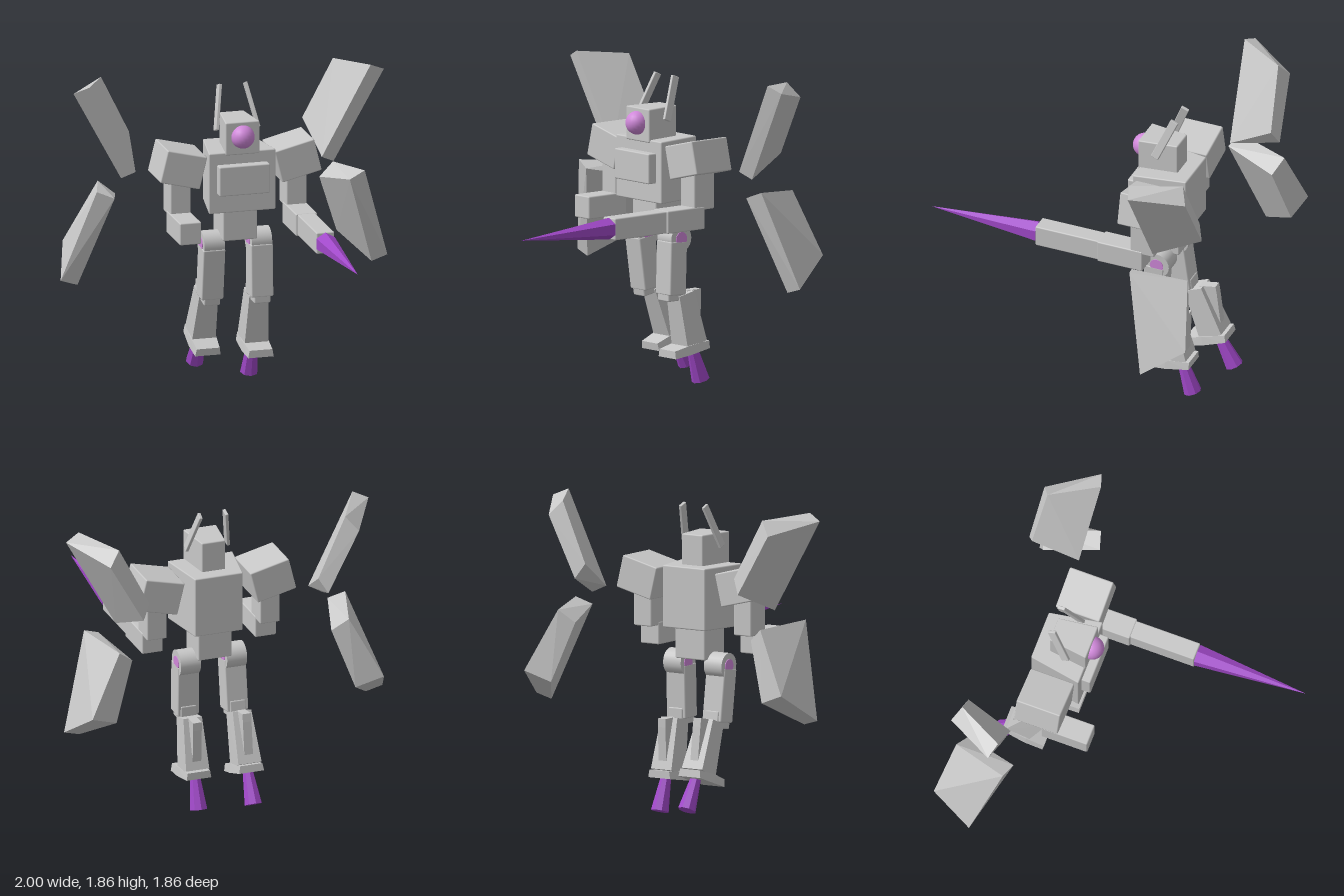
import * as THREE from 'three';
import { RoundedBoxGeometry } from 'three/addons/geometries/RoundedBoxGeometry.js';
import { ConvexGeometry } from 'three/addons/geometries/ConvexGeometry.js';

const material = (name, color) => {
  const m = new THREE.MeshStandardMaterial({ color });
  m.name = name;
  return m;
};

export function createModel() {
  const grey = material('armour grey', 0xc8c8c8);
  const purple = material('energy purple', 0xa048c8);
  const pink = material('lens pink', 0xd088da);
  const model = new THREE.Group();
  model.name = 'robot';

  const add = (parent, name, geometry, mat, x = 0, y = 0, z = 0) => {
    const mesh = new THREE.Mesh(geometry, mat);
    mesh.name = name;
    mesh.position.set(x, y, z);
    parent.add(mesh);
    return mesh;
  };

  // Bevelled box, narrowed towards its back by the factor backScale
  const block = (w, h, d, backScale = 1, r = 0.008) => {
    const g = new RoundedBoxGeometry(w, h, d, 1, r);
    const p = g.attributes.position;
    for (let i = 0; i < p.count; i++) {
      const t = THREE.MathUtils.clamp(0.5 - p.getZ(i) / d, 0, 1);
      p.setX(i, p.getX(i) * THREE.MathUtils.lerp(1, backScale, t));
    }
    return g;
  };

  // Faceted solid from a side profile of [z, y, half width]
  const solid = (profile) => new ConvexGeometry(profile.flatMap(([z, y, hw]) =>
    [new THREE.Vector3(hw, y, z), new THREE.Vector3(-hw, y, z)]));

  // Torso and head
  add(model, 'chest', block(0.41, 0.37, 0.32, 0.73), grey, 0, 1.297, -0.445);
  add(model, 'chestPlate', block(0.31, 0.18, 0.08), grey, 0, 1.32, -0.27);
  add(model, 'waist', block(0.21, 0.2, 0.21), grey, 0, 1.025, -0.435);
  add(model, 'head', block(0.21, 0.2, 0.24, 0.7), grey, 0, 1.565, -0.397);
  add(model, 'eye', new THREE.SphereGeometry(0.07, 20, 14), pink, 0, 1.575, -0.275);

  for (const s of [1, -1]) {
    // Antennae lean outward at the base and sweep back
    const low = new THREE.Vector3(s * 0.13, 1.59, -0.395);
    const high = new THREE.Vector3(s * 0.078, 1.84, -0.5);
    const antenna = add(model, 'antenna', block(0.02, low.distanceTo(high), 0.05, 1, 0.004), grey);
    antenna.position.lerpVectors(low, high, 0.5);
    antenna.rotation.set(-0.4, 0, s * 0.2, 'ZXY');

    // Arms
    const shoulder = add(model, 'shoulder', block(0.25, 0.2, 0.275), grey, s * 0.35, 1.388, -0.447);
    shoulder.rotation.z = s * 0.24;
    add(model, 'upperArm', block(0.125, 0.25, 0.155), grey, s * 0.355, 1.215, -0.437);
    add(model, 'forearm', block(0.132, 0.135, 0.29), grey, s * 0.355, 1.043, -0.295);
  }

  // Lance on the left arm
  add(model, 'lanceBarrel', block(0.11, 0.13, 0.42), grey, 0.355, 1.043, 0.04);
  const spike = add(model, 'lanceSpike', new THREE.ConeGeometry(0.065, 0.685, 6).toNonIndexed(),
    purple, 0.355, 1.043, 0.5925);
  spike.geometry.computeVertexNormals();
  spike.rotation.x = Math.PI / 2;

  // Legs, built around the hip pivot; the right one swings back
  const hipY = 0.89, hipZ = -0.44;
  const local = (profile) => solid(profile.map(([z, y, hw]) => [z - hipZ, y - hipY, hw]));
  for (const [x, swing] of [[0.143, 0], [-0.147, 0.17]]) {
    const leg = new THREE.Group();
    leg.name = x > 0 ? 'leftLeg' : 'rightLeg';
    leg.position.set(x, hipY, hipZ);
    leg.rotation.x = swing;
    model.add(leg);

    const hip = add(leg, 'hip', new THREE.CylinderGeometry(0.078, 0.078, 0.125, 24), grey);
    hip.rotation.z = Math.PI / 2;
    const cap = add(leg, 'hipLens', new THREE.CylinderGeometry(0.042, 0.042, 0.133, 20), pink);
    cap.rotation.z = Math.PI / 2;

    const thigh = add(leg, 'thigh', block(0.135, 0.32, 0.125), grey, 0, 0.717 - hipY, -0.417 - hipZ);
    thigh.rotation.x = -0.03;
    add(leg, 'knee', block(0.1, 0.1, 0.13), grey, 0, 0.57 - hipY, -0.417 - hipZ);
    add(leg, 'shin', local([
      [-0.43, 0.545, 0.058], [-0.545, 0.57, 0.058],
      [-0.63, 0.27, 0.073], [-0.485, 0.22, 0.073]]), grey);
    add(leg, 'calfFin', local([
      [-0.52, 0.57, 0.027], [-0.625, 0.57, 0.027], [-0.625, 0.52, 0.027],
      [-0.615, 0.3, 0.027], [-0.55, 0.3, 0.027]]), grey);
    add(leg, 'foot', local([
      [-0.385, 0.225, 0.07], [-0.385, 0.18, 0.078], [-0.5, 0.25, 0.078],
      [-0.5, 0.195, 0.086], [-0.65, 0.265, 0.07], [-0.65, 0.22, 0.078]]), grey);

    // Thruster flame, widening downward
    const flame = new THREE.CylinderGeometry(0.032, 0.054, 0.2, 8).toNonIndexed();
    flame.computeVertexNormals();
    add(leg, 'thrusterFlame', flame, purple, 0, 0.118 - hipY, -0.612 - hipZ).rotation.x = 0.32;
  }

  // Floating wing slabs: outer face corners, then inner face corners
  const wings = {
    upperWing: [
      [0.95, 1.83, -0.575], [0.78, 1.76, -0.87], [0.58, 1.4, -0.89], [0.65, 1.28, -0.605],
      [0.86, 1.87, -0.545], [0.71, 1.845, -0.825], [0.53, 1.487, -0.855], [0.57, 1.32, -0.575]],
    lowerWing: [
      [0.82, 1.23, -0.53], [0.72, 1.2, -0.86], [0.915, 0.83, -0.928], [1, 0.66, -0.675],
      [0.72, 1.19, -0.5], [0.625, 1.125, -0.82], [0.75, 0.77, -0.89], [0.9, 0.63, -0.665]],
  };
  for (const [name, corners] of Object.entries(wings)) {
    for (const s of [1, -1]) {
      const points = corners.map(([x, y, z]) => new THREE.Vector3(s * x, y, z));
      add(model, name, new ConvexGeometry(points), grey);
    }
  }
  return model;
}
